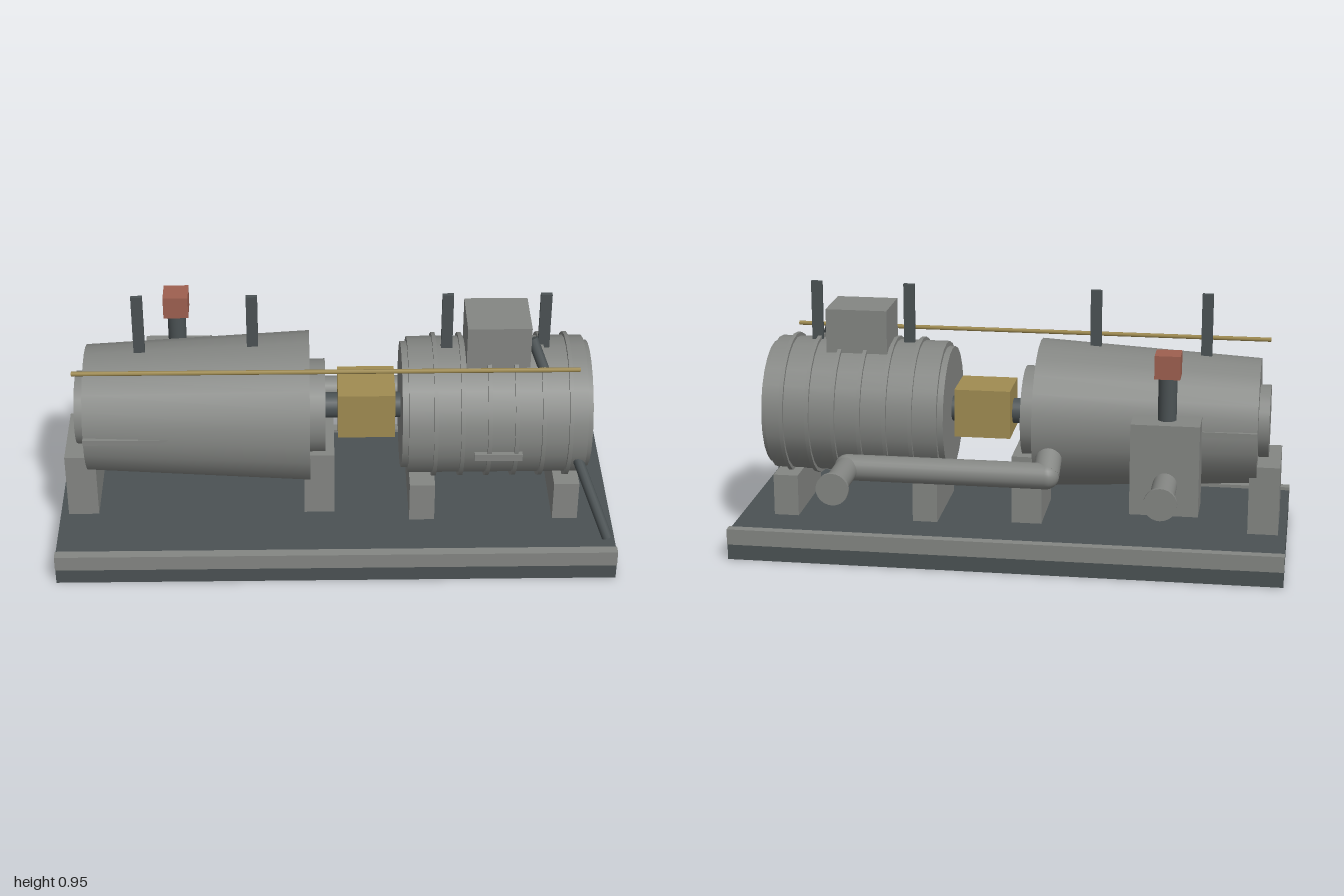
import * as THREE from 'three';

const mat = (name, color) => Object.assign(new THREE.MeshStandardMaterial({ color }), { name });

export function createModel() {
  const model = new THREE.Group();
  model.name = 'pumpSkid';
  const steel = mat('grey steel', 0x848683);
  const dark = mat('dark steel', 0x4b5254);
  const yellow = mat('safety yellow', 0xa08c52);
  const red = mat('valve red', 0x9e6050);
  const CY = 0.487, CZ = 0.086; // common machine axis

  const add = (name, geometry, material) => {
    const mesh = new THREE.Mesh(geometry, material);
    mesh.name = name;
    model.add(mesh);
    return mesh;
  };
  // Box given by its limits on each axis
  const box = (name, m, [x0, x1], [y0, y1], [z0, z1]) => {
    const mesh = add(name, new THREE.BoxGeometry(x1 - x0, y1 - y0, z1 - z0), m);
    mesh.position.set((x0 + x1) / 2, (y0 + y1) / 2, (z0 + z1) / 2);
  };
  // Cylinder or cone running from point a to point b
  const rod = (name, m, a, b, ra, rb = ra, sides = 24) => {
    const A = new THREE.Vector3(...a), B = new THREE.Vector3(...b);
    const dir = B.clone().sub(A);
    const mesh = add(name, new THREE.CylinderGeometry(rb, ra, dir.length(), sides), m);
    mesh.position.copy(A).add(B).multiplyScalar(0.5);
    mesh.quaternion.setFromUnitVectors(new THREE.Vector3(0, 1, 0), dir.normalize());
  };
  const axial = (name, m, x0, x1, r0, r1 = r0) =>
    rod(name, m, [x0, CY, CZ], [x1, CY, CZ], r0, r1);

  // Skid base with edge rails
  box('base', dark, [-0.999, 0.999], [0, 0.103], [-0.312, 0.483]);
  box('frontRail', steel, [-1, 1], [0.057, 0.115], [0.45, 0.485]);
  box('backRail', steel, [-1, 1], [0.057, 0.115], [-0.315, -0.28]);

  // Pedestals under both machines
  for (const [x0, x1] of [[-0.97, -0.86], [-0.112, -0.003]])
    box('tallPedestal', steel, [x0, x1], [0.1, 0.356], [-0.06, 0.216]);
  for (const [x0, x1] of [[0.267, 0.358], [0.786, 0.877]])
    box('lowPedestal', steel, [x0, x1], [0.1, 0.257], [-0.096, 0.267]);

  // Tapered casing with end covers and split flange
  axial('taperedCasing', steel, -0.887, -0.09, 0.226, 0.27);
  axial('smallEndCover', steel, -0.925, -0.85, 0.131);
  axial('largeEndCover', steel, -0.12, -0.035, 0.168);
  box('splitFlange', steel, [-0.887, -0.5], [0.488, 0.508], [-0.154, 0.326]);

  // Shaft and coupling guard
  axial('shaft', dark, -0.08, 0.27, 0.046);
  box('couplingGuard', yellow, [0.01, 0.214], [0.408, 0.586], [-0.014, 0.178]);

  // Ribbed drum
  axial('drumBody', steel, 0.257, 0.885, 0.246);
  axial('drumEnds', steel, 0.235, 0.903, 0.228);
  for (let i = 0; i < 6; i++) {
    const x = 0.352 + i * 0.0945;
    axial('drumRib', steel, x - 0.007, x + 0.007, 0.259);
  }
  box('terminalBox', steel, [0.46, 0.684], [0.68, 0.87], [-0.016, 0.188]);
  box('sidePlate', steel, [0.487, 0.657], [0.42, 0.446], [0.28, 0.345]);

  // Lifting lugs
  for (const x of [-0.69, -0.29, 0.395, 0.738])
    box('liftingLug', dark, [x - 0.02, x + 0.02], [0.68, 0.95], [CZ - 0.008, CZ + 0.008]);

  // Slanted conduit and long yellow line
  rod('slantedConduit', dark, [0.97, 0.118, 0.4], [0.69, 0.805, 0.148], 0.019, 0.019, 12);
  rod('yellowLine', yellow, [-0.915, 0.745, 0.257], [0.85, 0.745, 0.257], 0.008, 0.008, 6);

  // Valve chest with stem and red actuator
  box('valveChest', steel, [-0.692, -0.45], [0.23, 0.56], [-0.268, -0.11]);
  rod('valveStem', dark, [-0.572, 0.54, -0.188], [-0.572, 0.73, -0.188], 0.033);
  box('valveActuator', red, [-0.617, -0.527], [0.716, 0.8], [-0.233, -0.142]);

  // Flanged outlets facing back
  const PY = 0.344;
  for (const x of [-0.574, 0.567]) {
    rod('outletPipe', steel, [x, PY, -0.22], [x, PY, -0.482], 0.043);
    rod('outletFlange', steel, [x, PY, -0.468], [x, PY, -0.484], 0.058);
    for (let i = 0; i < 8; i++) {
      const a = (i + 0.5) * Math.PI / 4;
      const bx = x + 0.05 * Math.cos(a), by = PY + 0.05 * Math.sin(a);
      rod('flangeBolt', dark, [bx, by, -0.46], [bx, by, -0.47], 0.005, 0.005, 6);
    }
  }

  // Exhaust line from the tapered casing to the outlet
  const elbowA = [-0.15, PY, -0.23], elbowB = [0.567, PY, -0.23];
  rod('exhaustRiser', steel, elbowA, [-0.15, 0.44, -0.06], 0.047);
  rod('exhaustPipe', steel, elbowA, elbowB, 0.047);
  for (const p of [elbowA, elbowB])
    add('exhaustElbow', new THREE.SphereGeometry(0.047, 20, 14), steel).position.set(...p);

  return model;
}
